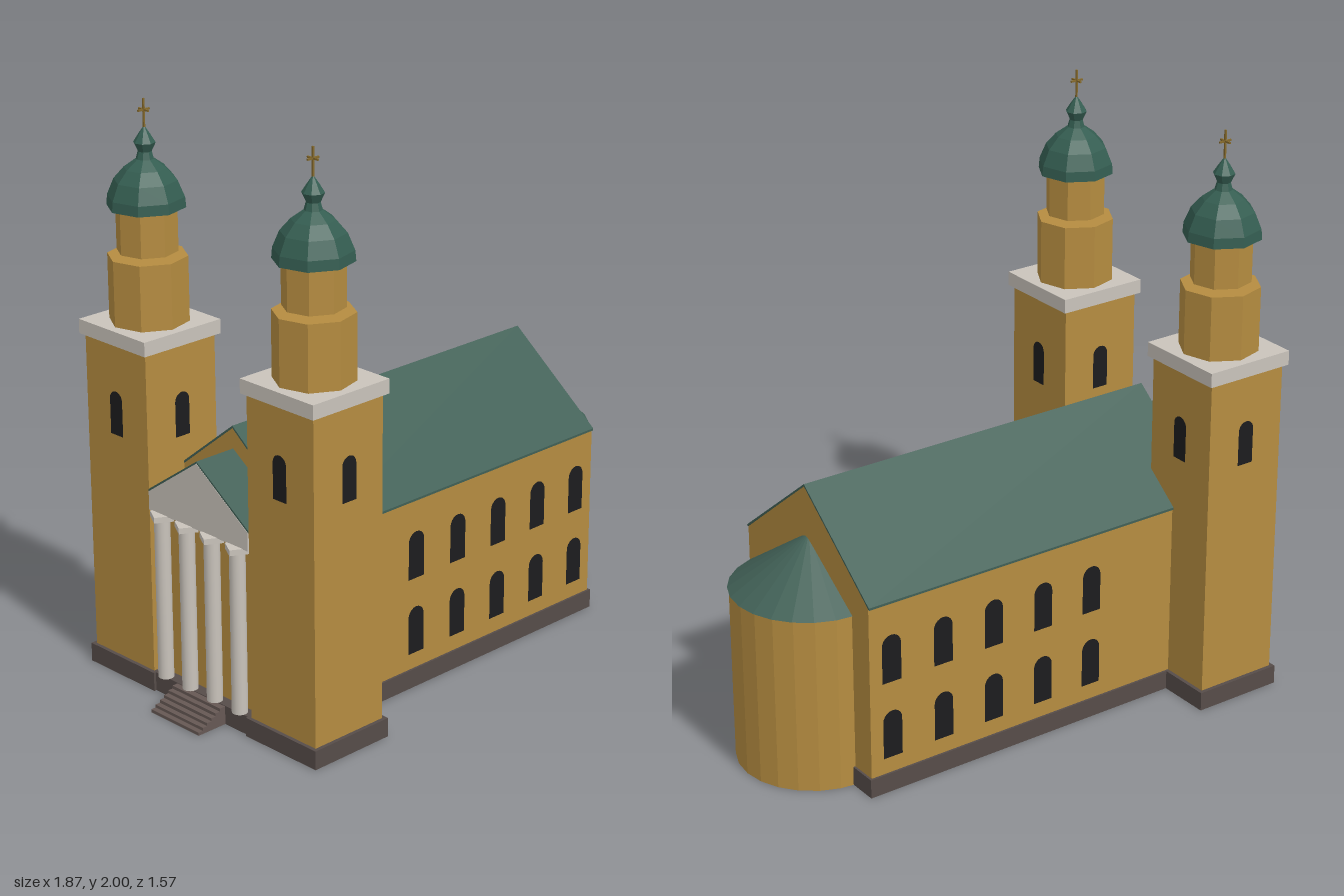
import * as THREE from 'three';

const TURN = THREE.MathUtils.degToRad(29.5); // the church stands at an angle to the frame
const AXIS = -0.067;                         // sideways offset of the church axis

const paint = (name, color, side = THREE.FrontSide) => {
  const m = new THREE.MeshStandardMaterial({ color, side });
  m.name = name;
  return m;
};

// Flat facets; optionally drop the downward faces resting on the ground
function flat(geometry, openBottom = false) {
  const g = geometry.index ? geometry.toNonIndexed() : geometry;
  g.computeVertexNormals();
  if (!openBottom) return g;
  const p = g.attributes.position, n = g.attributes.normal, keep = [];
  for (let i = 0; i < p.count; i += 3) {
    if (n.getY(i) < -0.9) continue;
    for (let k = i; k < i + 3; k++) keep.push(p.getX(k), p.getY(k), p.getZ(k));
  }
  const out = new THREE.BufferGeometry();
  out.setAttribute('position', new THREE.Float32BufferAttribute(keep, 3));
  out.computeVertexNormals();
  return out;
}

// Cross-section (sideways, up) extruded along the church axis
function prism(points, length) {
  const shape = new THREE.Shape(points.map(([x, y]) => new THREE.Vector2(x, y)));
  return new THREE.ExtrudeGeometry(shape, { depth: length, bevelEnabled: false }).rotateY(Math.PI / 2);
}

const gableWall = (half, base, eave, ridge) =>
  [[-half, base], [half, base], [half, eave], [0, ridge], [-half, eave]];
const gableRoof = (half, eave, ridge, t) =>
  [[-half, eave], [-half, eave - t], [0, ridge - t], [half, eave - t], [half, eave], [0, ridge]];

// Round-headed window, a single thin face
function archShape(w, h) {
  const r = w / 2, s = new THREE.Shape();
  s.moveTo(-r, 0);
  s.lineTo(r, 0);
  s.lineTo(r, h - r);
  s.absarc(0, h - r, r, 0, Math.PI, false);
  s.closePath();
  return new THREE.ShapeGeometry(s, 5);
}

export function createModel() {
  const mat = {
    wall: paint('ochre plaster', 0xb58c40, THREE.DoubleSide),
    roof: paint('green roof', 0x416056),
    dome: paint('green dome', 0x345d51),
    stone: paint('pale stone', 0xc9c3bb),
    plinth: paint('dark plinth', 0x564c49, THREE.DoubleSide),
    step: paint('brown steps', 0x665854),
    glass: paint('dark glass', 0x1c1c1e),
    cross: paint('old gold', 0x84692c),
  };
  const model = new THREE.Group();
  model.name = 'church';
  const church = new THREE.Group();
  church.name = 'churchBody';
  church.rotation.y = TURN;
  church.position.set(AXIS * Math.sin(TURN), 0, AXIS * Math.cos(TURN));
  model.add(church);

  const add = (parent, name, geometry, material, x = 0, y = 0, z = 0, ry = 0) => {
    const m = new THREE.Mesh(geometry, material);
    m.name = name;
    m.position.set(x, y, z);
    m.rotation.y = ry;
    parent.add(m);
    return m;
  };
  const openBox = (w, h, d) => flat(new THREE.BoxGeometry(w, h, d).translate(0, h / 2, 0), true);

  // Nave with plinth and gabled roof
  add(church, 'naveWalls', flat(prism(gableWall(0.36, 0, 0.685, 0.973), 1.368), true), mat.wall, -0.55);
  add(church, 'navePlinth', openBox(1.378, 0.067, 0.736), mat.plinth, 0.137);
  add(church, 'naveRoof', flat(prism(gableRoof(0.366, 0.69, 0.98, 0.008), 1.371)), mat.roof, -0.552);

  // Two rows of five windows on both long sides
  const naveWindow = archShape(0.073, 0.17);
  for (const side of [-1, 1])
    for (const y of [0.125, 0.4])
      for (let i = 0; i < 5; i++)
        add(church, 'naveWindow', naveWindow, mat.glass, -0.065 + 0.2 * i, y, side * 0.363, side > 0 ? 0 : Math.PI);

  // Half-round apse with half-cone roof
  add(church, 'apseWall', flat(new THREE.CylinderGeometry(0.267, 0.267, 0.62, 12, 1, true, 0, Math.PI)),
    mat.wall, 0.802, 0.31);
  add(church, 'apseRoof', flat(new THREE.ConeGeometry(0.27, 0.185, 12, 1, true, 0, Math.PI)),
    mat.roof, 0.805, 0.7125);

  // Entrance front between the towers
  add(church, 'entranceWall', openBox(0.11, 0.66, 0.484), mat.wall, -0.615);
  add(church, 'entrancePlinth', openBox(0.172, 0.067, 0.482), mat.plinth, -0.626);
  add(church, 'pediment', flat(prism(gableWall(0.24, 0.66, 0.725, 0.893), 0.156)), mat.stone, -0.711);
  add(church, 'entranceRoof', flat(prism(gableRoof(0.242, 0.732, 0.9, 0.008), 0.165)), mat.roof, -0.71);

  // Four columns, their square capitals set square to the frame
  const shaft = new THREE.CylinderGeometry(0.027, 0.027, 0.58, 16);
  const block = new THREE.BoxGeometry(0.066, 0.02, 0.066);
  for (let i = 0; i < 4; i++) {
    const z = (i - 1.5) * 0.122;
    add(church, 'column', shaft, mat.stone, -0.705, 0.357, z);
    add(church, 'capital', block, mat.stone, -0.705, 0.652, z, -TURN);
  }

  // Entrance steps
  const steps = 6;
  for (let i = 0; i < steps; i++) {
    const depth = 0.118 - i * 0.019;
    add(church, 'step', new THREE.BoxGeometry(depth, 0.0108, 0.236), mat.step,
      -0.712 - depth / 2, 0.0108 * (i + 0.5), 0);
  }

  // Twin towers
  const profile = [[0.1, 1.64], [0.132, 1.64], [0.129, 1.675], [0.106, 1.73], [0.071, 1.77], [0.03, 1.8],
    [0.023, 1.825], [0.037, 1.855], [0.02, 1.882], [0.004, 1.905]].map(([r, y]) => new THREE.Vector2(r, y));
  const domeGeometry = flat(new THREE.LatheGeometry(profile, 8, Math.PI / 8));
  const octagon = (r, h) => flat(new THREE.CylinderGeometry(r, r, h, 8, 1, false, Math.PI / 8));
  const towerWindow = archShape(0.061, 0.155);

  for (const side of [-1, 1]) {
    const tower = new THREE.Group();
    tower.name = side > 0 ? 'frontTower' : 'rearTower';
    tower.position.set(-0.557, 0, side * 0.3925);
    church.add(tower);
    add(tower, 'towerShaft', new THREE.BoxGeometry(0.301, 1.2, 0.301), mat.wall, 0, 0.6);
    add(tower, 'towerPlinth', openBox(0.328, 0.067, 0.328), mat.plinth);
    add(tower, 'towerCornice', new THREE.BoxGeometry(0.33, 0.05, 0.33), mat.stone, 0, 1.225);
    for (let k = 0; k < 4; k++) {
      const a = k * Math.PI / 2;
      add(tower, 'towerWindow', towerWindow, mat.glass, Math.sin(a) * 0.154, 0.88, Math.cos(a) * 0.154, a);
    }

    // Belfry and dome, set square to the frame
    const top = new THREE.Group();
    top.name = 'towerTop';
    top.rotation.y = -TURN;
    tower.add(top);
    add(top, 'belfry', octagon(0.135, 0.225), mat.wall, 0, 1.3625);
    add(top, 'drum', octagon(0.103, 0.155), mat.wall, 0, 1.5675);
    add(top, 'dome', domeGeometry, mat.dome);

    // Cross with arms along and across the church
    add(tower, 'crossPost', new THREE.BoxGeometry(0.006, 0.105, 0.006), mat.cross, 0, 1.9475);
    for (const turn of [0, Math.PI / 2])
      add(tower, 'crossArm', new THREE.BoxGeometry(0.048, 0.006, 0.006), mat.cross, 0, 1.962, 0, turn);
  }
  return model;
}
